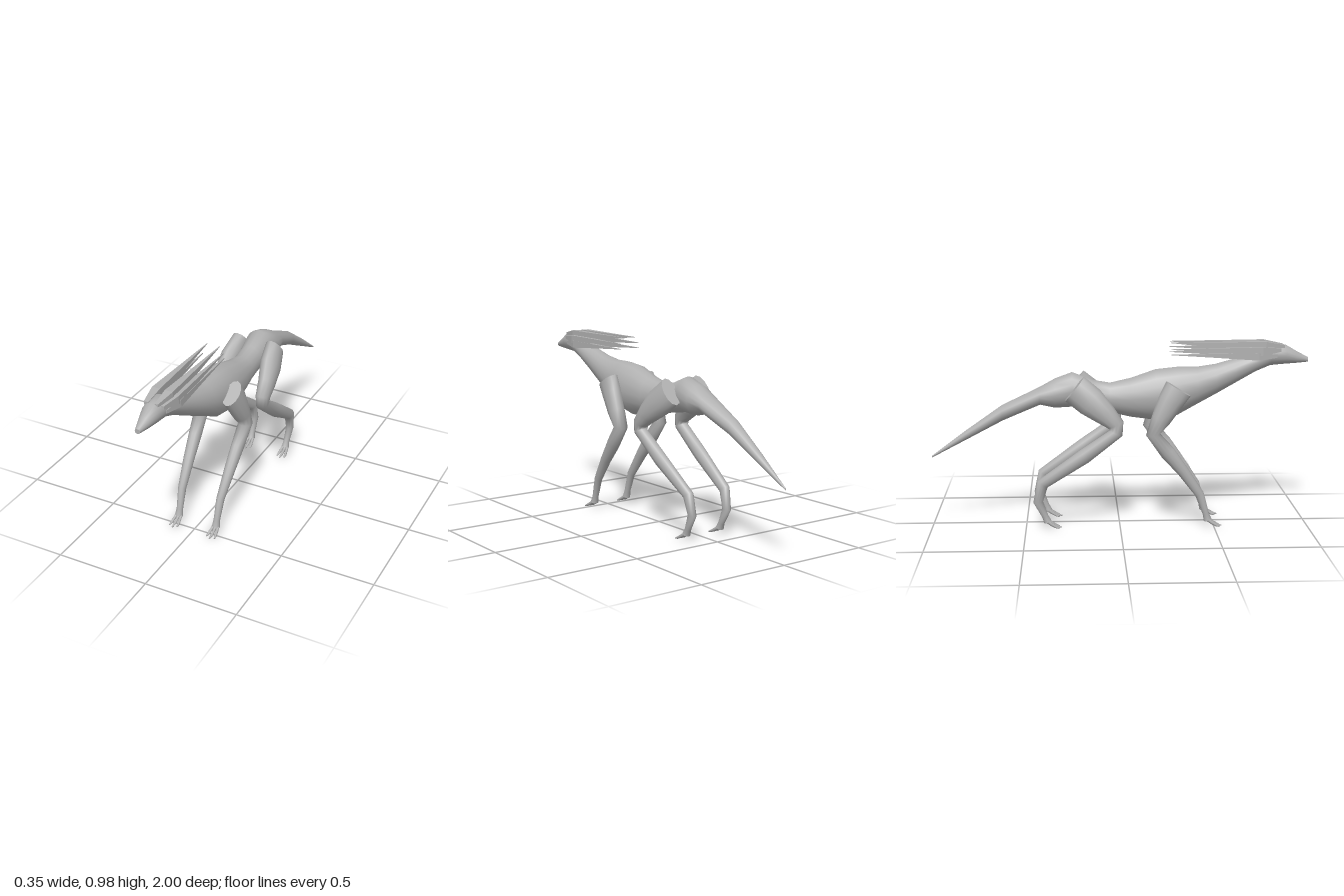
import * as THREE from 'three';

const skin = new THREE.MeshStandardMaterial({ color: 0xb0b0b0 });
skin.name = 'grey skin';

// Skin a tube over rings [x, y, z, half width in x, half height]; rings follow the path unless upright
function loft(name, rings, sides, { upright = false, flat = false } = {}) {
  const X = new THREE.Vector3(1, 0, 0);
  const centres = rings.map(r => new THREE.Vector3(r[0], r[1], r[2]));
  const pos = [], idx = [], last = rings.length - 1;
  const addRing = i => {
    const T = new THREE.Vector3(0, 0, -1);
    if (!upright) {
      T.set(0, 0, 0);
      if (i > 0) T.add(centres[i].clone().sub(centres[i - 1]).normalize());
      if (i < last) T.add(centres[i + 1].clone().sub(centres[i]).normalize());
    }
    const N = T.cross(X).normalize(), start = pos.length / 3;
    for (let j = 0; j < sides; j++) {
      const a = (j + (flat ? 0.5 : 0)) / sides * Math.PI * 2;
      const p = centres[i].clone()
        .addScaledVector(X, Math.cos(a) * rings[i][3])
        .addScaledVector(N, Math.sin(a) * rings[i][4]);
      pos.push(p.x, p.y, p.z);
    }
    return start;
  };
  const starts = rings.map((_, i) => addRing(i));
  for (let i = 0; i < last; i++) {
    for (let j = 0; j < sides; j++) {
      const k = (j + 1) % sides;
      const a = starts[i] + j, b = starts[i] + k, c = starts[i + 1] + k, d = starts[i + 1] + j;
      idx.push(a, b, c, a, c, d);
    }
  }
  // End caps have their own vertices so that their rims stay crisp
  for (const i of [0, last]) {
    const s = addRing(i), m = pos.length / 3;
    pos.push(...centres[i].toArray());
    for (let j = 0; j < sides; j++) {
      const k = (j + 1) % sides;
      if (i === 0) idx.push(m, s + k, s + j);
      else idx.push(m, s + j, s + k);
    }
  }
  let geo = new THREE.BufferGeometry();
  geo.setAttribute('position', new THREE.Float32BufferAttribute(pos, 3));
  geo.setIndex(idx);
  if (flat) geo = geo.toNonIndexed();
  geo.computeVertexNormals();
  const mesh = new THREE.Mesh(geo, skin);
  mesh.name = name;
  return mesh;
}

// Body sections from snout to tail tip: z, top, bottom, half width
const bodySections = [
  [1.0, 0.895, 0.87, 0.014], [0.94, 0.927, 0.864, 0.032], [0.88, 0.962, 0.86, 0.048],
  [0.80, 0.975, 0.853, 0.056], [0.72, 0.925, 0.82, 0.054], [0.61, 0.89, 0.757, 0.06],
  [0.51, 0.862, 0.70, 0.072], [0.41, 0.847, 0.645, 0.087], [0.31, 0.848, 0.588, 0.1],
  [0.19, 0.835, 0.562, 0.104], [0.06, 0.79, 0.58, 0.085], [-0.05, 0.765, 0.605, 0.068],
  [-0.14, 0.78, 0.62, 0.066], [-0.25, 0.823, 0.637, 0.078], [-0.34, 0.79, 0.632, 0.08],
  [-0.42, 0.745, 0.65, 0.066], [-0.62, 0.65, 0.565, 0.04], [-0.82, 0.51, 0.46, 0.022],
  [-1.0, 0.376, 0.366, 0.003],
];

// Leg sections from the top down: x, y, z, half width, half depth
const frontLegPath = [
  [0.12, 0.75, 0.303, 0.042, 0.075], [0.125, 0.685, 0.263, 0.046, 0.068],
  [0.13, 0.59, 0.212, 0.044, 0.052], [0.13, 0.51, 0.172, 0.038, 0.038],
  [0.125, 0.41, 0.25, 0.033, 0.04], [0.12, 0.31, 0.33, 0.029, 0.031],
  [0.113, 0.18, 0.422, 0.021, 0.024], [0.11, 0.07, 0.458, 0.017, 0.017],
  [0.11, 0.035, 0.468, 0.022, 0.021],
];
const hindLegPath = [
  [0.1, 0.75, -0.237, 0.045, 0.081], [0.115, 0.685, -0.155, 0.055, 0.08],
  [0.13, 0.62, -0.08, 0.045, 0.06], [0.135, 0.565, -0.025, 0.038, 0.045],
  [0.135, 0.52, -0.022, 0.035, 0.036], [0.13, 0.395, -0.19, 0.033, 0.04],
  [0.118, 0.245, -0.41, 0.026, 0.032], [0.113, 0.145, -0.435, 0.021, 0.026],
  [0.11, 0.065, -0.398, 0.017, 0.017], [0.11, 0.035, -0.385, 0.022, 0.021],
];

function leg(name, path, side) {
  const group = new THREE.Group();
  group.name = name;
  group.add(loft('limb', path.map(([x, ...rest]) => [side * x, ...rest]), 12));
  // Three splayed toes curling to the ground
  const [x, , z] = path[path.length - 1];
  for (const s of [-1, 0, 1]) {
    const reach = s === 0 ? 0.075 : 0.062;
    group.add(loft('toe', [
      [side * x + s * 0.012, 0.042, z - 0.006, 0.009, 0.01],
      [side * x + s * 0.016, 0.025, z + 0.02, 0.008, 0.009],
      [side * x + s * 0.02, 0.011, z + 0.045, 0.008, 0.007],
      [side * x + s * 0.023, 0.005, z + reach, 0.004, 0.003],
    ], 6));
  }
  return group;
}

// Swept-back head spikes: root x/y, widest x/y, half width, half height, tip x/y
const spikes = [
  [0.025, 0.955, 0.034, 0.957, 0.03, 0.038, 0.035, 0.979],
  [0.045, 0.94, 0.056, 0.935, 0.026, 0.032, 0.058, 0.947],
  [0.046, 0.908, 0.057, 0.908, 0.026, 0.028, 0.06, 0.919],
];

export function createModel() {
  const model = new THREE.Group();
  model.name = 'creature';
  model.add(loft('body', bodySections.map(([z, top, bottom, w]) =>
    [0, (top + bottom) / 2, z, w, (top - bottom) / 2]), 16, { upright: true }));

  const mane = new THREE.Group();
  mane.name = 'mane';
  for (const side of [-1, 1]) {
    const label = side > 0 ? 'left' : 'right';
    model.add(leg(label + 'FrontLeg', frontLegPath, side));
    model.add(leg(label + 'HindLeg', hindLegPath, side));
    spikes.forEach(([rx, ry, x, y, w, h, tx, ty], i) => {
      mane.add(loft(label + 'Spike', [
        [side * rx, ry, 0.87 - i * 0.02, 0.012, 0.012],
        [side * x, y, 0.77 - i * 0.02, w, h],
        [side * (x + tx) / 2, (y + ty) / 2, 0.5, w * 0.5, h * 0.5],
        [side * tx, ty, 0.27, 0.002, 0.002],
      ], 4, { upright: true, flat: true }));
    });
  }
  model.add(mane);
  return model;
}
